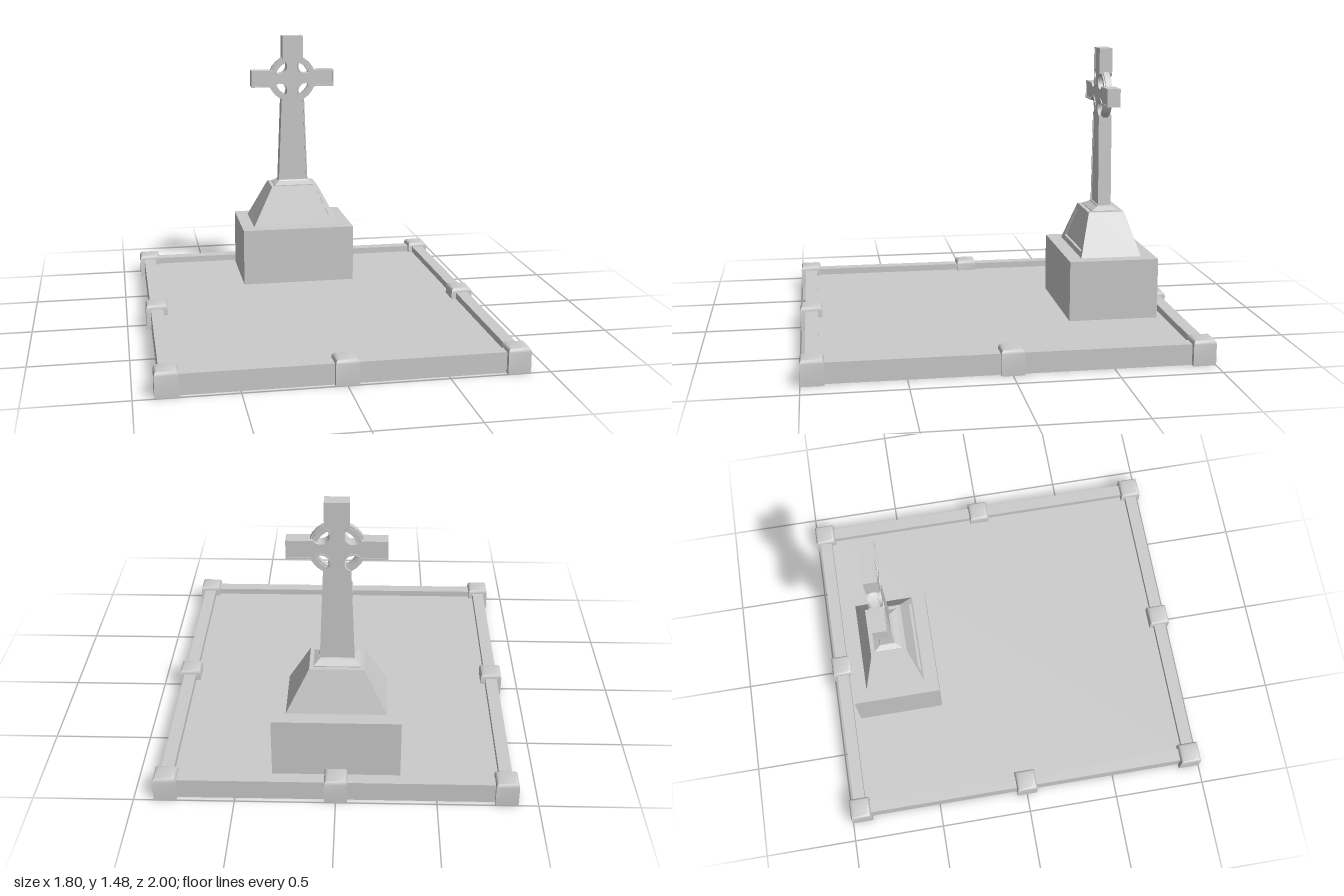
import * as THREE from 'three';
import { toCreasedNormals } from 'three/addons/utils/BufferGeometryUtils.js';

const MZ = -0.637; // depth position of the monument
const material = new THREE.MeshStandardMaterial({ color: 0xcccccc, side: THREE.DoubleSide });

function part(name, geometry, x = 0, y = 0, z = 0) {
  const mesh = new THREE.Mesh(geometry, material);
  mesh.name = name;
  mesh.position.set(x, y, z);
  return mesh;
}

// Skins a series of four-cornered sections; caps are optional
function loft(sections, capStart, capEnd, crease = 0.2) {
  const index = [];
  const last = (sections.length - 1) * 4;
  for (let s = 0; s < last; s += 4) {
    for (let i = 0; i < 4; i++) {
      const j = (i + 1) % 4;
      index.push(s + i, s + j, s + 4 + j, s + i, s + 4 + j, s + 4 + i);
    }
  }
  if (capStart) index.push(0, 2, 1, 0, 3, 2);
  if (capEnd) index.push(last, last + 1, last + 2, last, last + 2, last + 3);
  const g = new THREE.BufferGeometry();
  g.setAttribute('position', new THREE.Float32BufferAttribute(sections.flat(2), 3));
  g.setIndex(index);
  return toCreasedNormals(g, crease);
}

// Horizontal rectangle with half sizes hx, hz at height y
const rect = ([hx, y, hz]) => [[-hx, y, hz], [hx, y, hz], [hx, y, -hz], [-hx, y, -hz]];

// Upright trapezoid following a sloped face; zb and zt are its depths at bottom and top
const trapezoid = (xb, yb, zb, xt, yt, zt) => [[-xb, yb, zb], [xb, yb, zb], [xt, yt, zt], [-xt, yt, zt]];

// Cross outline with hollow armpits, drawn inset by d
function crossOutline(d) {
  const cy = 1.235, hx = 0.075, hy = 0.07, r = 0.042 + d;
  const right = [[0.06 - d, 1.48 - d]];
  const hollow = (halfWidth) => {
    const a0 = Math.acos((halfWidth - d - hx) / r);
    const a1 = Math.PI * 2 + Math.asin((0.048 - d - hy) / r);
    return Array.from({ length: 9 }, (_, i) => {
      const a = a0 + (a1 - a0) * i / 8;
      return [hx + r * Math.cos(a), hy + r * Math.sin(a)];
    });
  };
  hollow(0.06).forEach(([x, y]) => right.push([x, cy + y]));
  right.push([0.24 - d, 1.283 - d], [0.24 - d, 1.187 + d]);
  hollow(0.065).reverse().forEach(([x, y]) => right.push([x, cy - y]));
  right.push([0.067 - d, 1.09], [0.085 - d, 0.63 + d]);
  const left = right.map(([x, y]) => [-x, y]).reverse();
  return [...right, ...left].map(([x, y]) => new THREE.Vector2(x, y));
}

function extrude(outline, depth, hole) {
  const shape = new THREE.Shape(outline);
  if (hole) shape.holes.push(new THREE.Path(hole));
  const g = new THREE.ExtrudeGeometry(shape, { depth, bevelEnabled: false });
  g.translate(0, 0, -depth / 2);
  return toCreasedNormals(g, 0.6);
}

export function createModel() {
  const model = new THREE.Group();
  model.name = 'graveMonument';

  // Plot: kerb open underneath, with a raised thin slab inside
  const kerb = [[0.875, 0, 0.975], [0.875, 0.105, 0.975], [0.81, 0.105, 0.91], [0.81, 0.05, 0.91]];
  model.add(part('kerb', loft(kerb.map(rect))));
  model.add(part('slab', new THREE.BoxGeometry(1.62, 0.015, 1.82), 0, 0.0625, 0));

  // Corner and middle posts with softly rounded tops
  const postProfile = [[0.057, 0], [0.057, 0.108], [0.054, 0.12], [0.047, 0.128], [0.037, 0.131]];
  const postGeometry = loft(postProfile.map(([h, y]) => rect([h, y, h])), false, true, 0.9);
  for (const x of [-1, 0, 1]) {
    for (const z of [-1, 0, 1]) {
      if (x || z) model.add(part('post', postGeometry, x * 0.843, 0, z * 0.943));
    }
  }

  // Block under the monument
  model.add(part('plinth', new THREE.BoxGeometry(0.64, 0.345, 0.474), 0, 0.2175, MZ));

  // Tapered base, skinned from back to front and into the sunken front panel
  const faceZ = (y) => 0.162 - (y - 0.39) * 0.295;
  const front = (xb, yb, xt, yt, sink) => trapezoid(xb, yb, faceZ(yb) - sink, xt, yt, faceZ(yt) - sink);
  const base = [
    trapezoid(0.25, 0.39, -0.162, 0.135, 0.61, -0.097),
    front(0.25, 0.39, 0.135, 0.61, 0),
    front(0.203, 0.415, 0.13, 0.58, 0),
    front(0.203, 0.415, 0.13, 0.58, 0.014),
  ];
  model.add(part('taperedBase', loft(base, true, true), 0, 0, MZ));

  // Sloped collar at the foot of the shaft
  const collar = [[0.115, 0.608, 0.075], [0.115, 0.614, 0.075], [0.088, 0.632, 0.042], [0.086, 0.638, 0.038]];
  model.add(part('collar', loft(collar.map(rect), false, true), 0, 0, MZ));

  // Cross: raised rim around a slightly sunken face
  const cross = new THREE.Group();
  cross.name = 'cross';
  cross.position.z = MZ;
  cross.add(part('crossRim', extrude(crossOutline(0), 0.07, crossOutline(0.008))));
  cross.add(part('crossFace', extrude(crossOutline(0.008), 0.06)));

  // Faceted ring with stepped edges
  const ringProfile = [
    [0.1, -0.015], [0.108, -0.015], [0.108, -0.022], [0.128, -0.022], [0.128, -0.015], [0.137, -0.015],
    [0.137, 0.015], [0.128, 0.015], [0.128, 0.022], [0.108, 0.022], [0.108, 0.015], [0.1, 0.015], [0.1, -0.015],
  ].map(([r, y]) => new THREE.Vector2(r, y));
  const ring = part('ring', toCreasedNormals(new THREE.LatheGeometry(ringProfile, 24), 0.5), 0, 1.232, 0);
  ring.rotation.x = Math.PI / 2;
  cross.add(ring);
  model.add(cross);

  return model;
}
